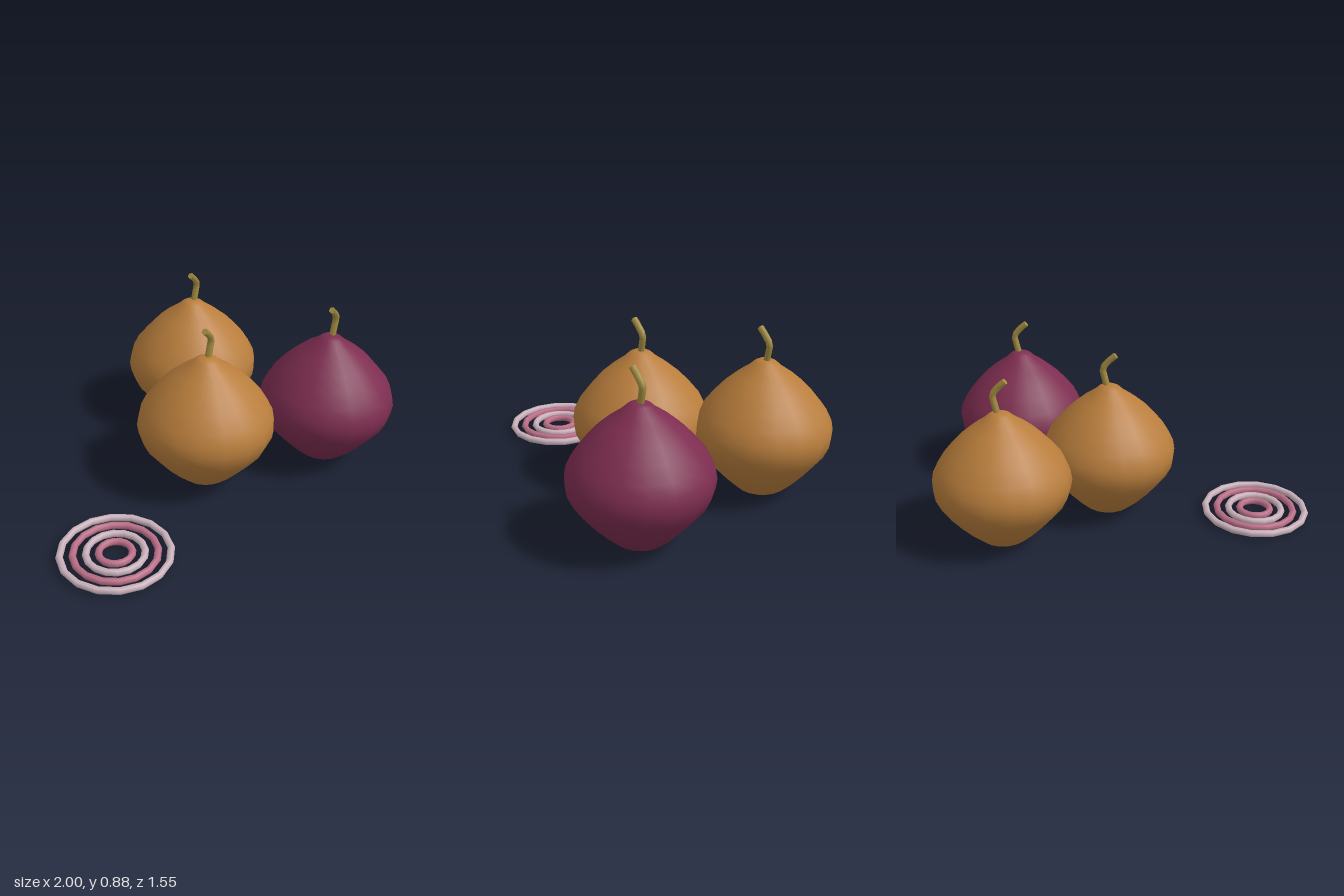
import * as THREE from 'three';

const mat = (name, color) => {
  const m = new THREE.MeshStandardMaterial({ color });
  m.name = name;
  return m;
};

export function createModel() {
  const group = new THREE.Group();
  const goldenSkin = mat('golden skin', 0xb87d3c);
  const purpleSkin = mat('purple skin', 0x7d2d50);
  const stemColor = mat('dry stem', 0xa38c40);
  const paleRing = mat('pale ring', 0xcdb4be);
  const pinkRing = mat('pink ring', 0xbd7089);

  const add = (parent, name, geometry, material) => {
    const mesh = new THREE.Mesh(geometry, material);
    mesh.name = name;
    parent.add(mesh);
    return mesh;
  };

  // Bulb profile: flat base, full belly, pinched neck
  const profile = [
    [0, 0.012], [0.08, 0.004], [0.125, 0.025], [0.185, 0.08], [0.25, 0.15], [0.315, 0.23],
    [0.343, 0.29], [0.35, 0.34], [0.341, 0.39], [0.312, 0.45], [0.26, 0.515], [0.205, 0.575],
    [0.145, 0.627], [0.085, 0.67], [0.055, 0.698], [0.03, 0.71], [0, 0.713],
  ].map(([r, y]) => new THREE.Vector2(r, y));
  const bulbGeometry = new THREE.LatheGeometry(profile, 18);

  // Bent stem with a closed tip
  const path = new THREE.CatmullRomCurve3([
    [0.006, 0.68, 0], [0.023, 0.75, -0.006], [0.032, 0.795, -0.008],
    [0.012, 0.832, 0.006], [-0.024, 0.868, 0.024],
  ].map((p) => new THREE.Vector3(...p)));
  const stemGeometry = new THREE.TubeGeometry(path, 8, 0.017, 6);
  const tipGeometry = new THREE.CircleGeometry(0.017, 6);

  const makeOnion = (name, x, z, skin) => {
    const onion = new THREE.Group();
    onion.name = name;
    onion.position.set(x, 0, z);
    add(onion, 'bulb', bulbGeometry, skin).rotation.y = 0.09;
    add(onion, 'stem', stemGeometry, stemColor);
    const tip = add(onion, 'stemTip', tipGeometry, stemColor);
    tip.position.copy(path.getPoint(1));
    tip.quaternion.setFromUnitVectors(new THREE.Vector3(0, 0, 1), path.getTangent(1));
    group.add(onion);
  };
  makeOnion('goldenOnionFront', -0.015, 0.145, goldenSkin);
  makeOnion('goldenOnionBack', 0.247, -0.43, goldenSkin);
  makeOnion('purpleOnion', 0.647, 0.275, purpleSkin);

  // Concentric sliced rings lying flat
  const slices = new THREE.Group();
  slices.name = 'onionSlices';
  slices.position.set(-0.72, 0.035, 0.495);
  [0.263, 0.202, 0.14, 0.08].forEach((radius, i) => {
    const geometry = new THREE.TorusGeometry(radius, 0.018, 6, 16).rotateX(-Math.PI / 2);
    add(slices, `sliceRing${i + 1}`, geometry, i % 2 ? pinkRing : paleRing);
  });
  group.add(slices);

  return group;
}
